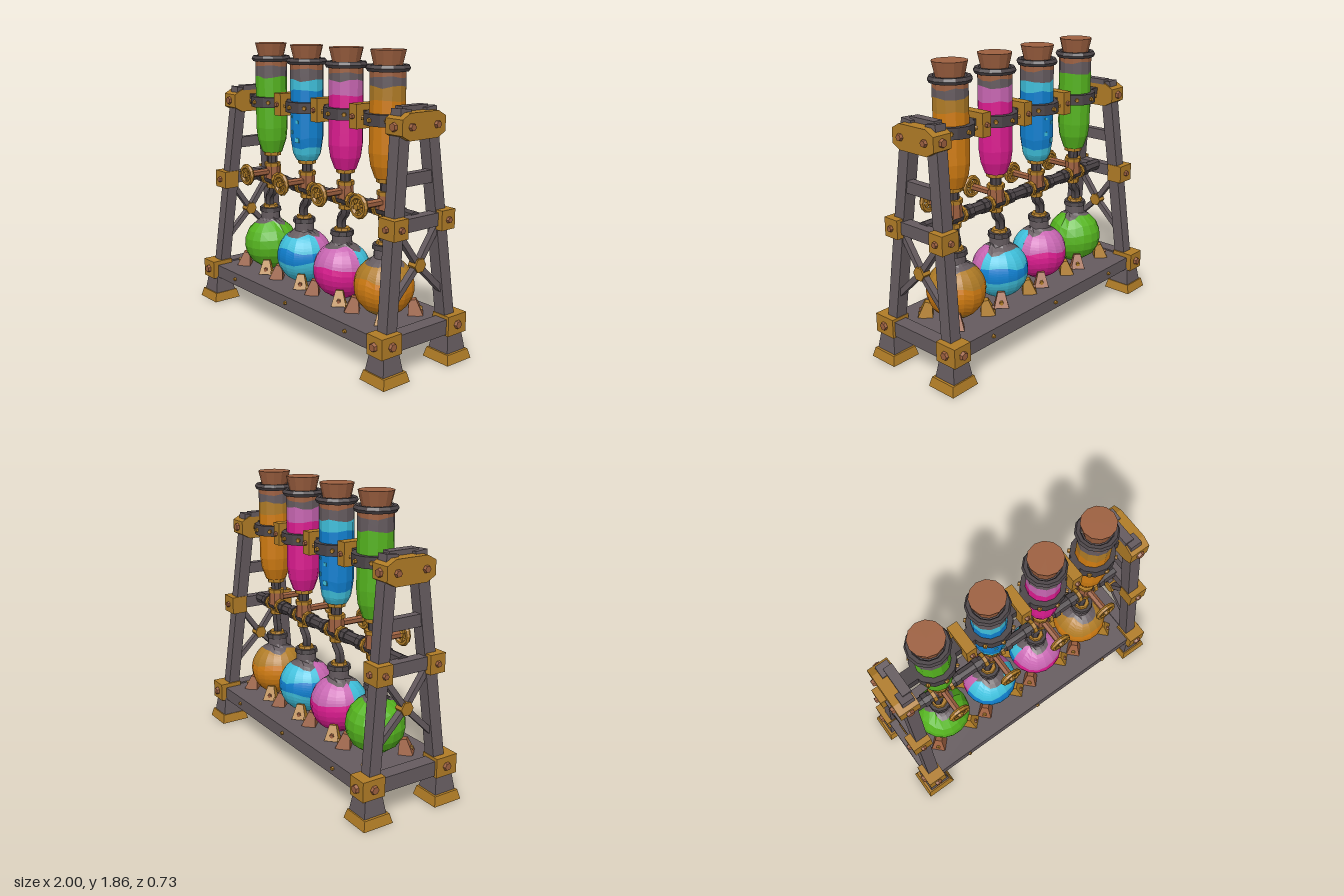
import * as THREE from 'three';

const mat = (name, color) => Object.assign(new THREE.MeshStandardMaterial({ color, flatShading: true }), { name });
const iron = mat('iron', 0x655b5f), darkIron = mat('dark iron', 0x4b4447), brass = mat('brass', 0xb07c26);
const cork = mat('cork and copper', 0x9d6040), green = mat('green liquid', 0x55b41f);
const blue = mat('blue liquid', 0x1080d0), cyan = mat('cyan foam', 0x3fc0dc);
const magenta = mat('magenta liquid', 0xdc1c90), pink = mat('pink foam', 0xc866b2), orange = mat('orange liquid', 0xd07c12);

const V = (x, y, z) => new THREE.Vector3(x, y, z);

export function createModel() {
  const root = new THREE.Group();
  root.name = 'potionRack';

  const add = (name, geo, material, x = 0, y = 0, z = 0, parent = root) => {
    const m = new THREE.Mesh(geo, material);
    m.name = name;
    m.position.set(x, y, z);
    parent.add(m);
    return m;
  };
  const box = (name, w, h, d, material, x, y, z) => add(name, new THREE.BoxGeometry(w, h, d), material, x, y, z);
  const cyl = (name, rTop, rBottom, h, sides, material, x, y, z) =>
    add(name, new THREE.CylinderGeometry(rTop, rBottom, h, sides), material, x, y, z);
  // four-sided tapered block, sizes given as full widths
  const taper = (name, bottom, top, h, material, x, y, z) => {
    const g = new THREE.CylinderGeometry(top * Math.SQRT1_2, bottom * Math.SQRT1_2, h, 4).rotateY(Math.PI / 4);
    return add(name, g, material, x, y, z);
  };
  // square bar between two points
  const beam = (name, a, b, w, d, material) => {
    const m = add(name, new THREE.BoxGeometry(w, a.distanceTo(b), d), material);
    m.position.copy(a).lerp(b, 0.5);
    m.quaternion.setFromUnitVectors(V(0, 1, 0), b.clone().sub(a).normalize());
    return m;
  };
  // hex bolt facing along a direction
  const bolt = (x, y, z, dir, r = 0.022, material = cork) => {
    const m = cyl('bolt', r * 0.8, r, 0.024, 6, material, x, y, z);
    m.quaternion.setFromUnitVectors(V(0, 1, 0), dir);
  };
  // stacked colour bands of a vessel of revolution, with wavy borders between colours
  const layers = (name, radius, levels, mats, amp, sides, x, phi0 = 0, phiLen = Math.PI * 2) => {
    mats.forEach((material, k) => {
      const rows = 7;
      const pts = Array.from({ length: rows }, (_, i) => new THREE.Vector2(1, i / (rows - 1)));
      const g = new THREE.LatheGeometry(pts, sides, phi0, phiLen);
      const p = g.attributes.position;
      const edge = (i, a) => levels[i] + (i > 0 && i < levels.length - 1
        ? amp * (Math.sin(3 * a + 40 * levels[i]) + 0.5 * Math.cos(5 * a)) : 0);
      for (let i = 0; i < p.count; i++) {
        const a = Math.atan2(p.getX(i), p.getZ(i));
        const y = THREE.MathUtils.lerp(edge(k, a), edge(k + 1, a), p.getY(i));
        const r = radius(y);
        p.setXYZ(i, r * Math.sin(a), y, r * Math.cos(a));
      }
      g.computeVertexNormals();
      add(name, g, material, x);
    });
  };

  // base plank
  box('basePlank', 1.74, 0.09, 0.62, iron, 0, 0.218, 0);
  box('plankUnderside', 1.62, 0.02, 0.56, darkIron, 0, 0.168, 0);
  for (const s of [-1, 1]) for (const x of [-0.6, 0, 0.6]) bolt(x, 0.22, s * 0.312, V(0, 0, s), 0.014, brass);

  // end frames
  for (const sx of [-1, 1]) {
    for (const sz of [-1, 1]) {
      taper('foot', 0.205, 0.175, 0.06, brass, sx * 0.895, 0.03, sz * 0.26);
      taper('legFlare', 0.155, 0.115, 0.13, iron, sx * 0.89, 0.12, sz * 0.262);
      beam('leg', V(sx * 0.895, 0.06, sz * 0.262), V(sx * 0.82, 1.55, sz * 0.1), 0.08, 0.08, iron);
      box('lowerBracket', 0.13, 0.125, 0.155, brass, sx * 0.897, 0.23, sz * 0.27);
      bolt(sx * 0.897, 0.23, sz * 0.355, V(0, 0, sz), 0.03);
      bolt(sx * 0.967, 0.23, sz * 0.27, V(sx, 0, 0), 0.03);
      box('middleBracket', 0.13, 0.12, 0.11, brass, sx * 0.87, 0.89, sz * 0.19);
      bolt(sx * 0.87, 0.89, sz * 0.25, V(0, 0, sz));
      bolt(sx * 0.94, 0.89, sz * 0.19, V(sx, 0, 0));
      bolt(sx * 0.84, 1.455, sz * 0.175, V(0, 0, sz), 0.03);
      bolt(sx * 0.912, 1.455, sz * 0.1, V(sx, 0, 0), 0.025);
      // diagonal braces
      beam('brace', V(sx * 0.875, 0.64, 0), V(sx * 0.87, 0.87, sz * 0.17), 0.04, 0.035, iron);
      beam('brace', V(sx * 0.875, 0.64, 0), V(sx * 0.88, 0.43, sz * 0.215), 0.04, 0.035, iron);
    }
    box('lowerCrossbar', 0.09, 0.095, 0.42, iron, sx * 0.9, 0.225, 0);
    box('middleCrossbar', 0.07, 0.08, 0.32, iron, sx * 0.87, 0.895, 0);
    box('upperRung', 0.05, 0.075, 0.22, iron, sx * 0.848, 1.15, 0);
    const hub = cyl('braceHub', 0.045, 0.045, 0.06, 6, brass, sx * 0.875, 0.64, 0);
    hub.rotation.z = Math.PI / 2;

    // top yoke with chamfered corners
    const yoke = new THREE.Shape([[-0.17, 1.41], [-0.11, 1.378], [0.11, 1.378], [0.17, 1.41],
      [0.17, 1.5], [0.11, 1.533], [-0.11, 1.533], [-0.17, 1.5]].map(([a, b]) => new THREE.Vector2(a, b)));
    const g = new THREE.ExtrudeGeometry(yoke, { depth: 0.135, bevelEnabled: false })
      .translate(0, 0, -0.0675).rotateY(Math.PI / 2);
    add('topYoke', g, brass, sx * 0.838);
    box('yokeRidge', 0.06, 0.035, 0.2, iron, sx * 0.8, 1.545, 0);
  }

  // upper rail and its clamps
  box('upperRail', 1.58, 0.07, 0.09, darkIron, 0, 1.465, 0);
  for (const x of [-0.36, 0.035, 0.41]) {
    box('railClamp', 0.07, 0.15, 0.2, brass, x, 1.465, 0);
    for (const s of [-1, 1]) bolt(x, 1.465, s * 0.105, V(0, 0, s), 0.018);
  }

  // pipe across the middle
  cyl('crossPipe', 0.04, 0.04, 1.7, 8, darkIron, 0, 0.915, 0).rotation.z = Math.PI / 2;

  const tubeRadius = y => y < 1.15 ? THREE.MathUtils.mapLinear(y, 1.11, 1.15, 0.07, 0.092)
    : y < 1.24 ? THREE.MathUtils.mapLinear(y, 1.15, 1.24, 0.092, 0.107) : 0.109;
  const flaskRadius = y => Math.max(Math.sqrt(Math.max(0.188 ** 2 - (y - 0.44) ** 2, 0)), 0.066);

  // liquid bands from bottom to top
  const greenFlask = [[0.265, 0.6, 0.69], [green, iron]];
  const blueFlask = [[0.265, 0.42, 0.5, 0.59, 0.69], [cyan, blue, cyan, iron]];
  const pinkFlask = [[0.265, 0.48, 0.6, 0.69], [magenta, pink, iron]];
  const orangeFlask = [[0.265, 0.31, 0.5, 0.59, 0.69], [brass, orange, brass, iron]];
  const stations = [
    { tx: -0.567, fx: -0.6, tube: [[1.11, 1.635, 1.71, 1.75], [green, iron, cork]], flask: [greenFlask, greenFlask] },
    { tx: -0.166, fx: -0.2, tube: [[1.11, 1.2, 1.575, 1.64, 1.71, 1.75], [cyan, blue, cyan, iron, cork]], flask: [blueFlask, pinkFlask] },
    { tx: 0.23, fx: 0.2, tube: [[1.11, 1.575, 1.665, 1.71, 1.75], [magenta, pink, iron, cork]], flask: [pinkFlask, blueFlask] },
    { tx: 0.604, fx: 0.6, tube: [[1.11, 1.575, 1.655, 1.71, 1.75], [orange, brass, iron, cork]], flask: [orangeFlask, orangeFlask] },
  ];

  for (const { tx, fx, tube, flask } of stations) {
    // test tube, rim, cork and holder ring
    layers('testTube', tubeRadius, ...tube, 0.007, 12, tx);
    add('tubeRim', new THREE.TorusGeometry(0.112, 0.022, 6, 12).rotateX(Math.PI / 2), darkIron, tx, 1.758, 0);
    cyl('cork', 0.108, 0.083, 0.105, 12, cork, tx, 1.81, 0);
    cyl('holderRing', 0.142, 0.142, 0.07, 12, darkIron, tx, 1.465, 0);
    for (let i = 0; i < 8; i++) {
      const d = V(Math.sin(i * Math.PI / 4), 0, Math.cos(i * Math.PI / 4));
      if (i % 4 !== 2) bolt(tx + d.x * 0.142, 1.465, d.z * 0.142, d, 0.016, brass);
    }
    cyl('tubeCollar', 0.06, 0.06, 0.03, 8, brass, tx, 1.1, 0);
    cyl('tubeSpout', 0.036, 0.036, 0.1, 8, darkIron, tx, 1.05, 0);

    // valve body, stem and handwheel
    cyl('valveBody', 0.05, 0.055, 0.1, 8, cork, tx, 0.97, 0);
    cyl('valveCap', 0.058, 0.058, 0.025, 8, brass, tx, 1.02, 0);
    for (const s of [-1, 1]) {
      cyl('pipeCollar', 0.052, 0.052, 0.025, 8, brass, tx + s * 0.065, 0.915, 0).rotation.z = Math.PI / 2;
      cyl('pipeSleeve', 0.048, 0.048, 0.04, 8, darkIron, tx + s * 0.12, 0.915, 0).rotation.z = Math.PI / 2;
    }
    cyl('valveStem', 0.024, 0.024, 0.2, 6, cork, tx, 0.968, 0.12).rotation.x = Math.PI / 2;
    const wheel = new THREE.Group();
    wheel.name = 'handwheel';
    wheel.position.set(tx, 0.968, 0.215);
    root.add(wheel);
    add('wheelRim', new THREE.TorusGeometry(0.06, 0.017, 6, 12), brass, 0, 0, 0, wheel);
    add('wheelHub', new THREE.CylinderGeometry(0.02, 0.026, 0.05, 6).rotateX(Math.PI / 2), brass, 0, 0, 0, wheel);
    for (let i = 0; i < 3; i++)
      add('spoke', new THREE.BoxGeometry(0.12, 0.018, 0.016), brass, 0, 0, 0, wheel).rotation.z = 0.3 + i * Math.PI / 3;

    // bent pipe down into the flask
    const path = new THREE.CatmullRomCurve3([V(fx, 0.69, 0), V(fx - 0.01, 0.75, 0), V(fx, 0.79, 0),
      V(tx, 0.825, 0), V(tx + 0.005, 0.87, 0), V(tx, 0.93, 0)]);
    add('bentPipe', new THREE.TubeGeometry(path, 14, 0.032, 6), darkIron);
    cyl('pipeNut', 0.045, 0.045, 0.03, 8, brass, tx, 0.865, 0);

    // flask: front half and back half
    layers('flaskFront', flaskRadius, ...flask[0], 0.012, 9, fx, -Math.PI / 2, Math.PI);
    layers('flaskBack', flaskRadius, ...flask[1], 0.012, 9, fx, Math.PI / 2, Math.PI);
    cyl('flaskRim', 0.074, 0.078, 0.03, 10, darkIron, fx, 0.69, 0);
    cyl('flaskCollar', 0.05, 0.055, 0.02, 8, brass, fx, 0.713, 0);

    // claws gripping the flask
    for (let i = 0; i < 4; i++) {
      const a = Math.PI / 4 + i * Math.PI / 2;
      const claw = taper('claw', 0.095, 0.045, 0.1, i % 2 ? cork : brass, fx + 0.185 * Math.sin(a), 0.308, 0.185 * Math.cos(a));
      claw.rotation.set(-0.2, a, 0, 'YXZ');
      bolt(fx + 0.225 * Math.sin(a), 0.3, 0.225 * Math.cos(a), V(Math.sin(a), 0, Math.cos(a)), 0.016, i % 2 ? brass : cork);
    }
  }

  // bubbles on the blue tube
  for (const [side, y, s] of [[1, 1.37, 0.02], [1, 1.25, 0.03], [-1, 1.3, 0.024], [-1, 1.4, 0.014]]) {
    for (const back of [0, Math.PI]) {
      const a = side * Math.PI / 12 + back;
      const m = box('bubble', s, s, 0.008, cyan, -0.166 + 0.105 * Math.sin(a), y, 0.105 * Math.cos(a));
      m.rotation.y = a;
    }
  }
  return root;
}
